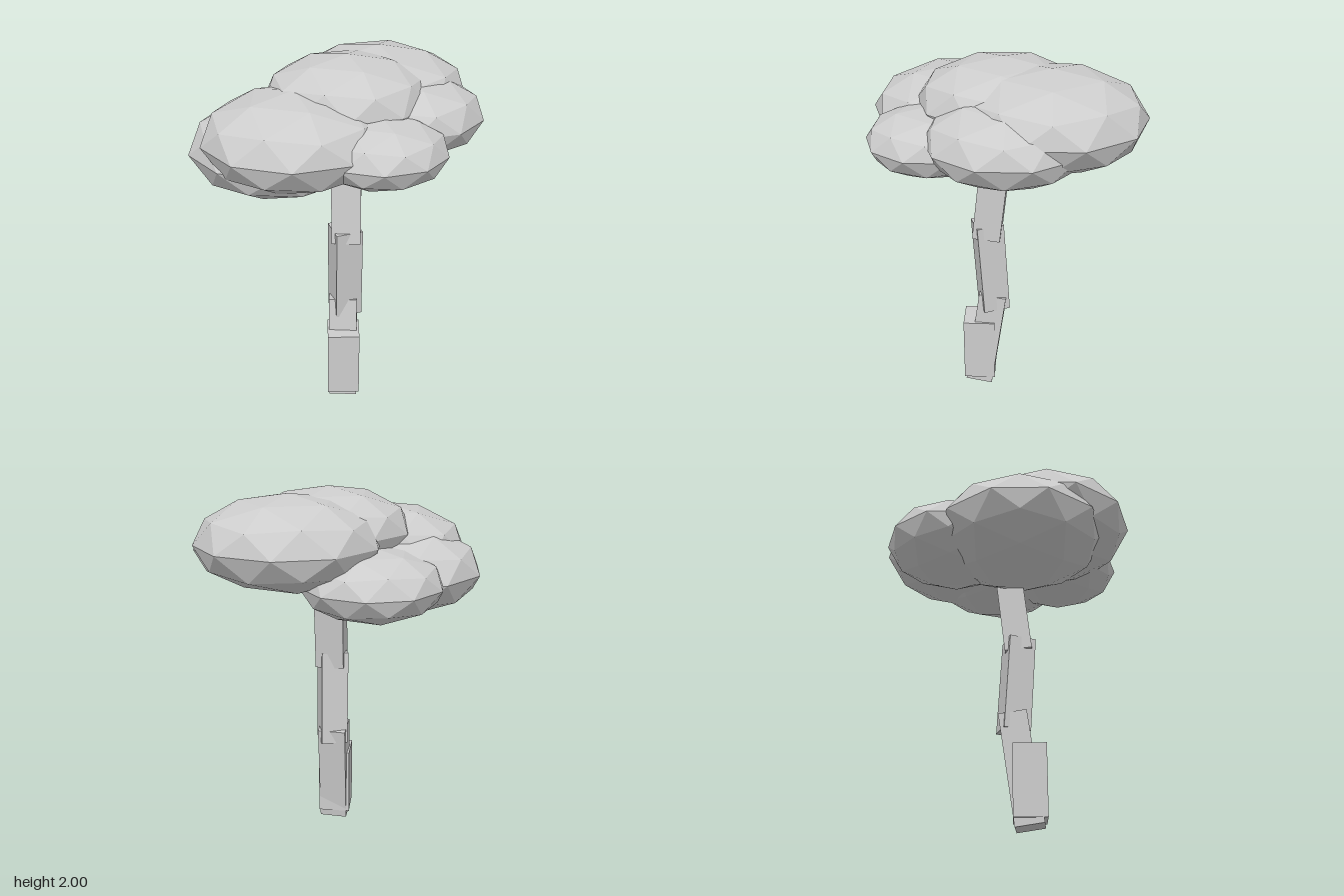
import * as THREE from 'three';

export function createModel() {
  const model = new THREE.Group();
  const grey = new THREE.MeshStandardMaterial({ color: 0xcccccc, flatShading: true });
  grey.name = 'plainGrey';
  const deg = THREE.MathUtils.degToRad;

  // Faceted ball with a corner pointing straight up
  const ball = new THREE.IcosahedronGeometry(1, 1);
  ball.rotateZ(-Math.atan(2 / (1 + Math.sqrt(5))));

  // Leaf clumps: centre x, y, z and radius; each is half as tall as it is wide
  const clumps = [
    ['backTopClump', 0.22, 1.75, -0.24, 0.48],
    ['topClump', 0.05, 1.78, 0, 0.44],
    ['frontRightClump', -0.21, 1.65, 0.24, 0.475],
    ['rightClump', -0.30, 1.555, 0.095, 0.47],
    ['backRightClump', -0.20, 1.555, -0.28, 0.37],
    ['leftClump', 0.355, 1.68, -0.03, 0.41],
    ['frontLeftClump', 0.20, 1.62, 0.345, 0.34],
  ];
  const canopy = new THREE.Group();
  canopy.name = 'canopy';
  for (const [name, x, y, z, r] of clumps) {
    const clump = new THREE.Mesh(ball, grey);
    clump.name = name;
    clump.position.set(x, y, z);
    clump.scale.set(r, r / 2, r);
    canopy.add(clump);
  }

  // Trunk blocks: size, centre, lean (about x) and twist (about y) in degrees
  const blocks = [
    ['lowerTrunk', [0.157, 0.61, 0.155], [0.033, 0.318, 0.098], -8, -4],
    ['middleTrunk', [0.15, 0.54, 0.15], [0.042, 0.80, 0.073], 3.7, 18],
    ['upperTrunk', [0.158, 0.62, 0.152], [0.048, 1.305, 0.055], -6.4, -3],
    ['baseBlock', [0.18, 0.39, 0.18], [0.032, 0.247, 0.14], 0, 0],
  ];
  const trunk = new THREE.Group();
  trunk.name = 'trunk';
  for (const [name, size, centre, lean, twist] of blocks) {
    const block = new THREE.Mesh(new THREE.BoxGeometry(...size), grey);
    block.name = name;
    block.position.set(...centre);
    block.rotation.set(deg(lean), deg(twist), 0);
    trunk.add(block);
  }

  model.add(canopy, trunk);
  return model;
}
